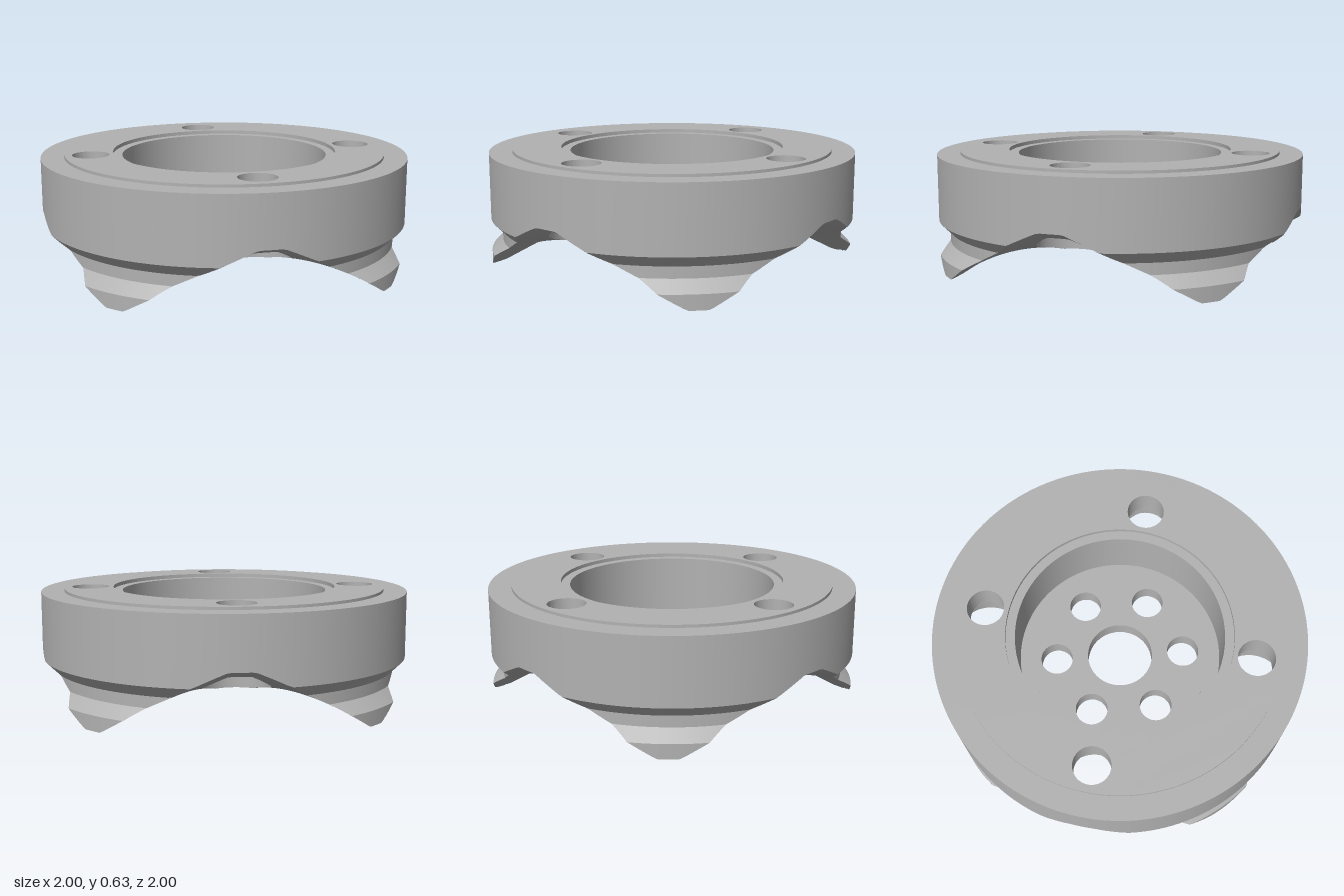
import * as THREE from 'three';
import { toCreasedNormals } from 'three/addons/utils/BufferGeometryUtils.js';

const FLOOR = 0.28, BASE = 0.175, TOP = 0.63, RIM = 0.615, SEAT = 0.48;
const BOLT_R = 0.735, POCKET = 0.17, BOLT = 0.1, HUB = 0.5;
const SEG = 64; // steps per quadrant

// Height of the toothed underside: teeth on the axes, valleys on the diagonals
function under(x, z) {
  const r = Math.hypot(x, z);
  if (r <= 0.6) return BASE;
  const s = Math.min(Math.abs(x), Math.abs(z)) / r;
  const f = Math.min(0.34, -0.03 + 0.56 * s);
  return Math.max(0, BASE + (r - 0.6) / 0.4 * (f - BASE));
}

// Grooved outer profile, cut off where it meets the underside
const OUTER = [[0.875, RIM], [1, RIM], [1, 0.26], [0.94, 0.2], [0.94, 0.14], [1, 0.08], [1, 0]];
function wallAt(a) {
  const gap = ([r, y]) => y - under(r * Math.sin(a), r * Math.cos(a));
  const pts = [];
  let cut = null;
  OUTER.forEach((p, i) => {
    if (!cut && gap(p) < 0) {
      const q = OUTER[i - 1];
      let lo = 0, hi = 1;
      for (let n = 0; n < 24; n++) {
        const t = (lo + hi) / 2;
        cut = [q[0] + (p[0] - q[0]) * t, q[1] + (p[1] - q[1]) * t];
        if (gap(cut) < 0) hi = t; else lo = t;
      }
    }
    pts.push(cut || p);
  });
  return pts;
}

// Surface through a grid of points, fn(i, j) -> [x, y, z]
function grid(nu, nv, fn, crease = 0.35) {
  const pos = [], idx = [];
  for (let i = 0; i <= nu; i++) for (let j = 0; j <= nv; j++) pos.push(...fn(i, j));
  for (let i = 0; i < nu; i++) for (let j = 0; j < nv; j++) {
    const a = i * (nv + 1) + j, b = a + nv + 1;
    idx.push(a, b, b + 1, a, b + 1, a + 1);
  }
  const g = new THREE.BufferGeometry();
  g.setAttribute('position', new THREE.Float32BufferAttribute(pos, 3));
  g.setIndex(idx);
  return toCreasedNormals(g, crease);
}

// Disc with round holes [x, y, radius]
function disc(radius, holes) {
  const s = new THREE.Shape().absarc(0, 0, radius, 0, Math.PI * 2);
  for (const [x, y, r] of holes) s.holes.push(new THREE.Path().absarc(x, y, r, 0, Math.PI * 2, true));
  return s;
}

function plate(shape, y0, y1) {
  const g = new THREE.ExtrudeGeometry(shape, { depth: y1 - y0, bevelEnabled: false, curveSegments: 64 });
  g.rotateX(-Math.PI / 2).translate(0, y0, 0);
  return toCreasedNormals(g, 0.35);
}

export function createModel() {
  const group = new THREE.Group();
  const steel = new THREE.MeshStandardMaterial({ color: 0xb2b2b2, side: THREE.DoubleSide });
  steel.name = 'steel grey';
  const add = (name, geometry, parent = group) => {
    const m = new THREE.Mesh(geometry, steel);
    m.name = name;
    parent.add(m);
    return m;
  };

  // Raised top ring with four bolt holes
  const c = BOLT_R * Math.SQRT1_2;
  const bolts = [[c, c, BOLT], [-c, c, BOLT], [-c, -c, BOLT], [c, -c, BOLT]];
  add('topRing', plate(disc(0.875, [[0, 0, 0.61], ...bolts]), SEAT, TOP));

  // Hub floor with a centre hole and six holes around it
  const hubHoles = [[0, 0, 0.18]];
  for (let k = 0; k < 6; k++) {
    const a = Math.PI / 2 + k * Math.PI / 3;
    hubHoles.push([0.355 * Math.cos(a), 0.355 * Math.sin(a), 0.088]);
  }
  add('hubFloor', plate(disc(HUB, hubHoles), BASE, FLOOR));

  // Central bore with a shallow ledge at its mouth
  const bore = [[HUB, FLOOR], [0.56, FLOOR], [0.56, 0.61], [0.612, 0.61]];
  add('bore', grid(192, 3, (i, j) => {
    const a = -i / 192 * Math.PI * 2, [r, y] = bore[j];
    return [r * Math.sin(a), y, r * Math.cos(a)];
  }));

  // Outer wall of one quadrant
  const quarter = Math.PI / 2;
  const walls = Array.from({ length: SEG + 1 }, (_, i) => wallAt(i / SEG * quarter));
  const wallGeo = grid(SEG, OUTER.length - 1, (i, j) => {
    const a = (SEG - i) / SEG * quarter, [r, y] = walls[SEG - i][j];
    return [r * Math.sin(a), y, r * Math.cos(a)];
  });

  // Border of one underside quadrant: outer arc, side, inner arc, side
  const border = [];
  const mark = (a, r) => border.push([r * Math.sin(a), r * Math.cos(a)]);
  for (let i = 0; i <= SEG; i++) mark(i / SEG * quarter, walls[i][OUTER.length - 1][0]);
  for (let i = 1; i <= 20; i++) mark(quarter, 1 - (1 - HUB) * i / 20);
  for (let i = 1; i <= SEG; i++) mark((1 - i / SEG) * quarter, HUB);
  for (let i = 1; i <= 20; i++) mark(0, HUB + (1 - HUB) * i / 20);

  // Underside stretched between the border and the bolt pocket
  const STEPS = 24;
  const underGeo = grid(border.length - 1, STEPS, (i, j) => {
    const [px, pz] = border[i];
    const d = Math.hypot(px - c, pz - c), t = j / STEPS;
    const k = (POCKET + (d - POCKET) * t) / d;
    const x = c + (px - c) * k, z = c + (pz - c) * k;
    return [x, under(x, z), z];
  }, 0.3);

  // Bolt pocket wall and its seat
  const pocketGeo = grid(64, 1, (i, j) => {
    const a = -i / 64 * Math.PI * 2;
    const x = c + POCKET * Math.sin(a), z = c + POCKET * Math.cos(a);
    return [x, j ? SEAT : under(x, z), z];
  });
  const seatGeo = new THREE.RingGeometry(BOLT, POCKET, 64).rotateX(Math.PI / 2).translate(c, SEAT - 0.001, c);

  for (let k = 0; k < 4; k++) {
    const q = new THREE.Group();
    q.name = 'quadrant' + (k + 1);
    q.rotation.y = k * quarter;
    add('outerWall', wallGeo, q);
    add('toothedUnderside', underGeo, q);
    add('boltPocket', pocketGeo, q);
    add('boltSeat', seatGeo, q);
    group.add(q);
  }
  return group;
}
